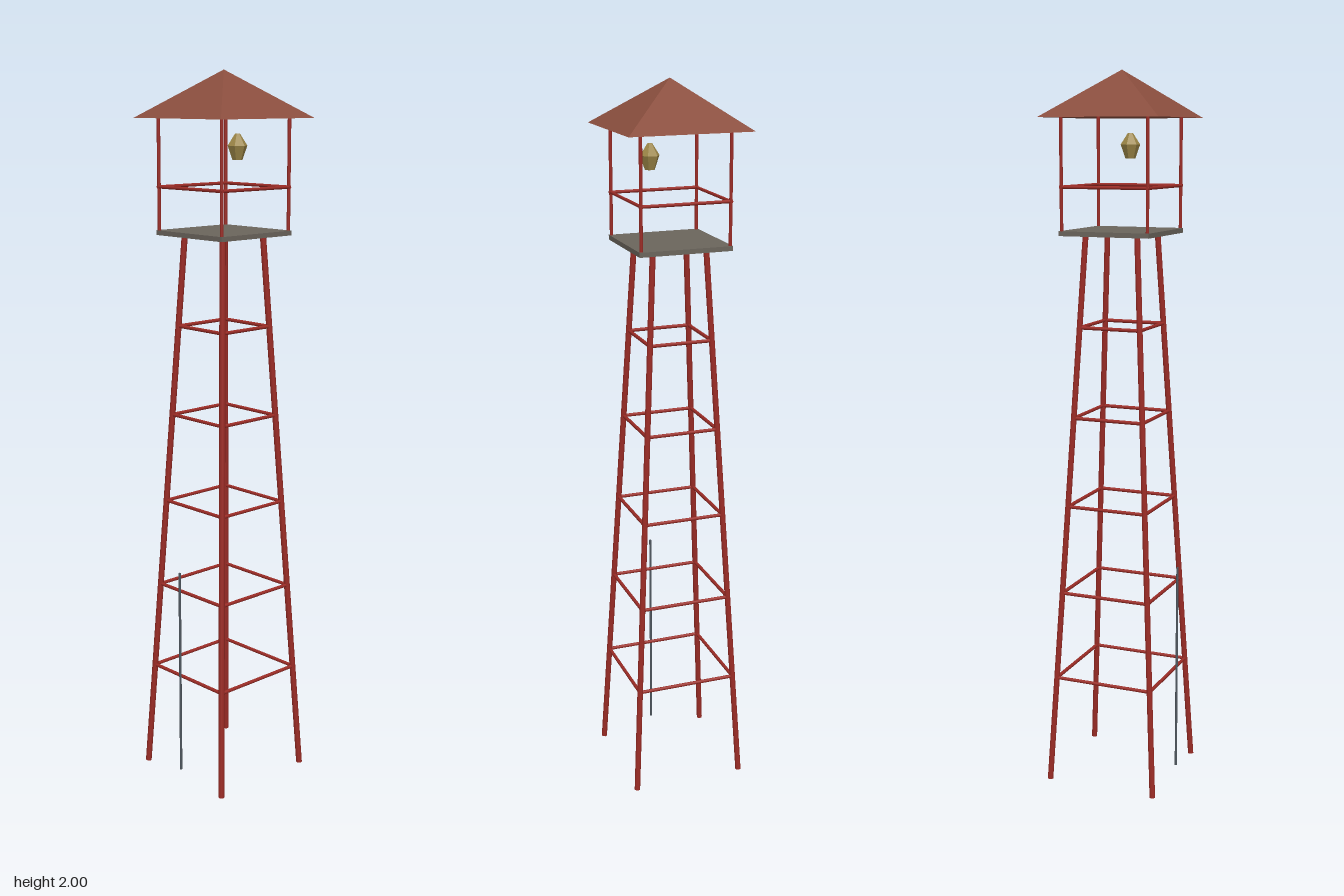
import * as THREE from 'three';

const mat = (name, color) => {
  const m = new THREE.MeshStandardMaterial({ color });
  m.name = name;
  return m;
};

export function createModel() {
  const red = mat('red steel', 0x9c2c26);
  const roofBrown = mat('roof brown', 0x8a4e3e);
  const deckGrey = mat('deck grey', 0x6b655c);
  const brass = mat('brass', 0x9e8848);
  const steel = mat('dark steel', 0x505860);
  brass.flatShading = true;
  roofBrown.flatShading = true;
  roofBrown.side = THREE.DoubleSide;

  const model = new THREE.Group();
  const tower = new THREE.Group();
  tower.name = 'tower';
  tower.position.z = -0.002;
  model.add(tower);

  const add = (name, geometry, material, x = 0, y = 0, z = 0) => {
    const mesh = new THREE.Mesh(geometry, material);
    mesh.name = name;
    mesh.position.set(x, y, z);
    tower.add(mesh);
    return mesh;
  };

  // Round bar between two points
  const up = new THREE.Vector3(0, 1, 0);
  const bar = (name, a, b, radius, material, sides = 8) => {
    const p = new THREE.Vector3(...a), q = new THREE.Vector3(...b);
    const d = q.clone().sub(p);
    const mesh = add(name, new THREE.CylinderGeometry(radius, radius, d.length(), sides), material);
    mesh.position.copy(p.add(q).multiplyScalar(0.5));
    mesh.quaternion.setFromUnitVectors(up, d.normalize());
  };

  // Square ring of four bars at height y, running a little past the corners
  const ring = (name, h, y, radius) => {
    const e = h + 0.005;
    for (const s of [-1, 1]) {
      bar(name, [-e, y, s * h], [e, y, s * h], radius, red);
      bar(name, [s * h, y, -e], [s * h, y, e], radius, red);
    }
  };

  // Splayed legs and deck posts
  const foot = 0.159, head = 0.075, deckY = 1.57, post = 0.124;
  for (const sx of [-1, 1]) for (const sz of [-1, 1]) {
    bar('leg', [sx * foot, 0, sz * foot], [sx * head, deckY, sz * head], 0.0085, red);
    bar('roofPost', [sx * post, deckY, sz * post], [sx * post, 1.88, sz * post], 0.0048, red);
  }

  // Cross braces and railing
  for (let i = 0; i < 5; i++) {
    const y = 0.307 + i * 0.2515;
    ring('brace', foot + (head - foot) * y / deckY, y, 0.005);
  }
  ring('railing', post, 1.693, 0.0045);

  // Deck
  add('deck', new THREE.BoxGeometry(0.26, 0.013, 0.26), deckGrey, 0, deckY, 0);

  // Pyramid roof, open underneath
  const roof = new THREE.ConeGeometry(0.171 * Math.SQRT2, 0.125, 4, 1, true);
  roof.rotateY(Math.PI / 4);
  add('roof', roof, roofBrown, 0, 1.9375, 0);

  // Hanging lantern
  const profile = [[0, -0.034], [0.014, -0.034], [0.027, 0.003], [0.007, 0.034], [0, 0.034]];
  const lantern = new THREE.LatheGeometry(profile.map(p => new THREE.Vector2(...p)), 6);
  lantern.rotateY(Math.PI / 6);
  add('lantern', lantern, brass, 0.055, 1.801, 0.002);

  // Thin upright rod at the front
  bar('rod', [0, 0.032, 0.17], [0, 0.633, 0.17], 0.0035, steel);

  return model;
}
